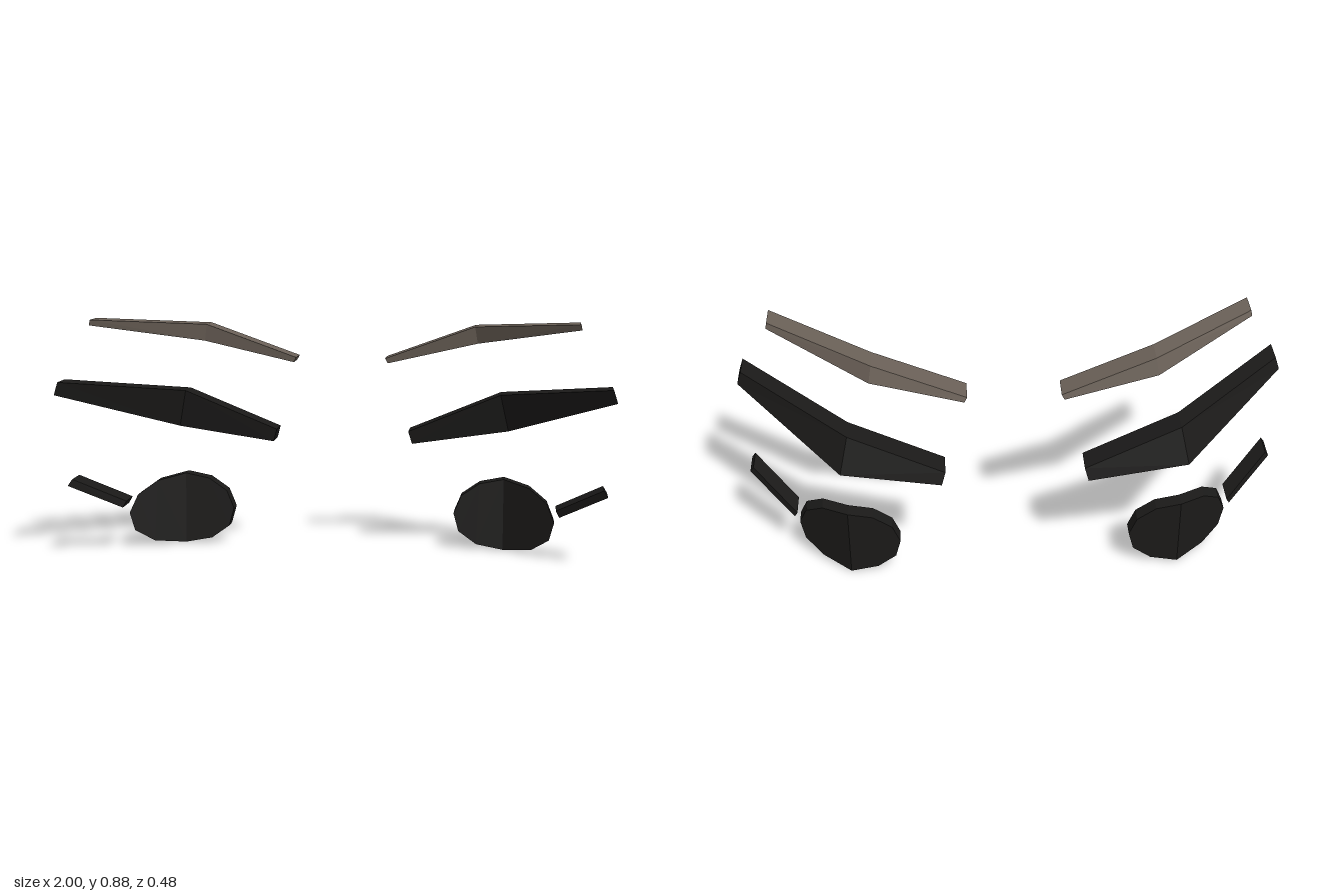
import * as THREE from 'three';

// Lofts four-cornered sections running outwards along x.
// Section: top front corner, bottom front corner (each x, y, z); depth runs backwards.
function loft(sections, depth, side) {
  const rings = sections.map(([top, bottom]) => [
    top,
    [top[0], top[1], top[2] - depth],
    [bottom[0], bottom[1], bottom[2] - depth],
    bottom,
  ]);
  const positions = [];
  const triangle = (a, b, c) => {
    const order = side > 0 ? [a, b, c] : [a, c, b];
    for (const [x, y, z] of order) positions.push(side * x, y, z);
  };
  const quad = (a, b, c, d) => { triangle(a, b, c); triangle(a, c, d); };

  for (let i = 0; i < rings.length - 1; i++) {
    for (let k = 0; k < 4; k++) {
      const n = (k + 1) % 4;
      quad(rings[i][k], rings[i + 1][k], rings[i + 1][n], rings[i][n]);
    }
  }
  quad(...rings[0]);
  quad(...[...rings[rings.length - 1]].reverse());

  const geometry = new THREE.BufferGeometry();
  geometry.setAttribute('position', new THREE.Float32BufferAttribute(positions, 3));
  geometry.computeVertexNormals();
  return geometry;
}

// Rounded plate outline: x, top y, lower x, bottom y; folded forwards outside x = 0.605
const padOutline = [
  [0.42, 0.14, 0.42, 0.135],
  [0.447, 0.205, 0.438, 0.07],
  [0.515, 0.252, 0.505, 0.022],
  [0.605, 0.27, 0.605, 0.003],
  [0.7, 0.251, 0.71, 0.022],
  [0.765, 0.205, 0.775, 0.07],
  [0.792, 0.14, 0.792, 0.135],
];
const foldZ = (x, y) => -0.152 - 0.035 * (y - 0.003) + Math.max(0, x - 0.605) * 0.74;

const parts = {
  upperBar: {
    color: 0x6b6158,
    depth: 0.093,
    sections: [
      [[0.165, 0.728, -0.078], [0.175, 0.71, -0.082]],
      [[0.495, 0.85, -0.05], [0.505, 0.788, -0.063]],
      [[0.868, 0.883, 0.205], [0.872, 0.863, 0.2]],
    ],
  },
  middleBar: {
    color: 0x1b1a19,
    depth: 0.096,
    sections: [
      [[0.248, 0.45, -0.132], [0.262, 0.402, -0.142]],
      [[0.59, 0.595, -0.104], [0.62, 0.456, -0.137]],
      [[0.983, 0.661, 0.238], [0.998, 0.614, 0.234]],
    ],
  },
  lowerPad: {
    color: 0x1b1a19,
    depth: 0.058,
    sections: padOutline.map(([x, y, lx, ly]) => [
      [x, y, foldZ(x, y)],
      [lx, ly, foldZ(lx, ly)],
    ]),
  },
  sideStrip: {
    color: 0x1b1a19,
    depth: 0.096,
    sections: [
      [[0.798, 0.188, 0.006], [0.81, 0.165, 0.016]],
      [[0.962, 0.294, 0.154], [0.976, 0.271, 0.164]],
    ],
  },
};

export function createModel() {
  const model = new THREE.Group();
  for (const [name, { color, depth, sections }] of Object.entries(parts)) {
    const material = new THREE.MeshStandardMaterial({ color, flatShading: true });
    // Mirrored pair
    for (const side of [1, -1]) {
      const mesh = new THREE.Mesh(loft(sections, depth, side), material);
      mesh.name = name + (side > 0 ? 'Left' : 'Right');
      model.add(mesh);
    }
  }
  return model;
}
